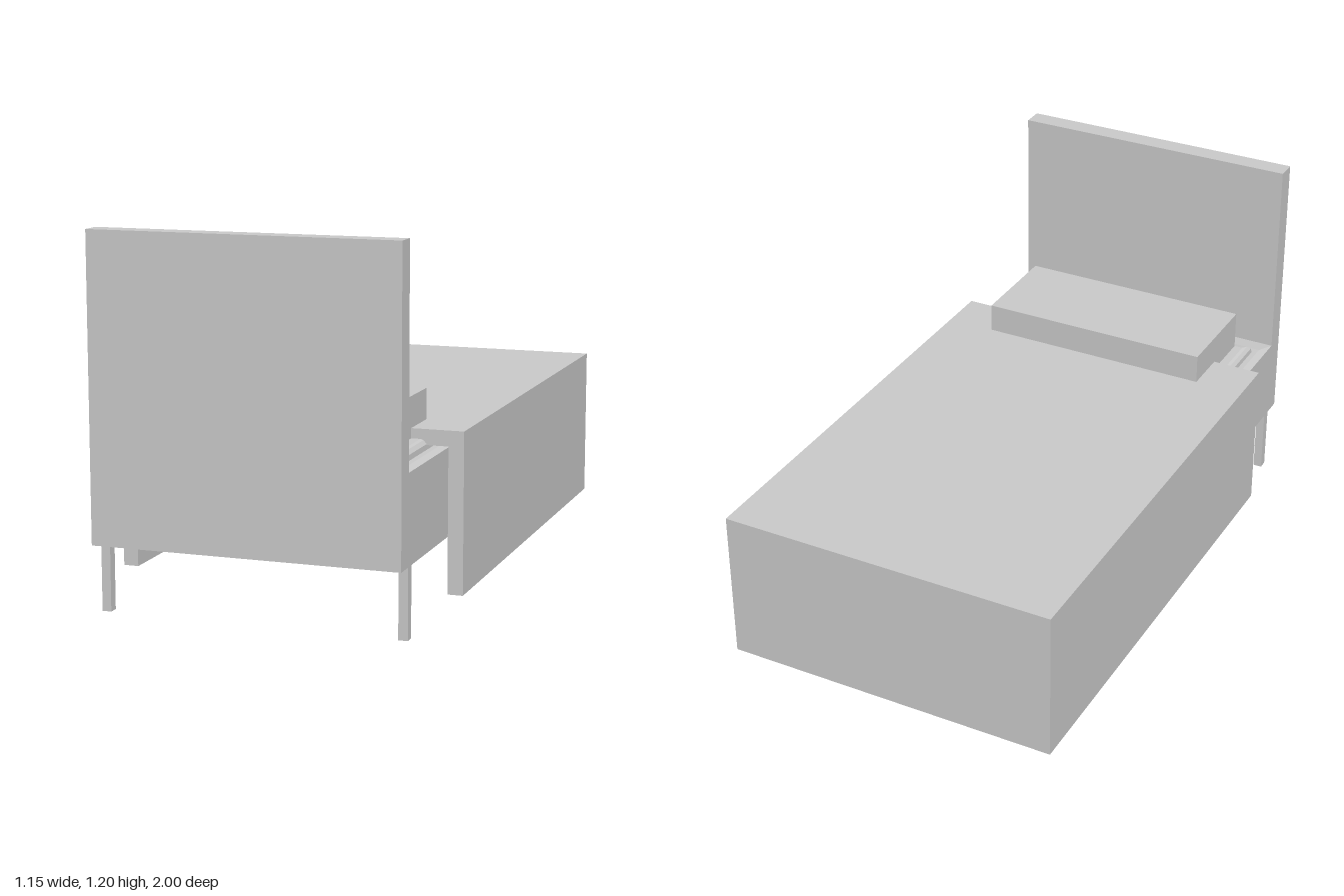
import * as THREE from 'three';

const material = new THREE.MeshStandardMaterial({ color: 0xcccccc, flatShading: true });

function addMesh(parent, name, geometry) {
  const mesh = new THREE.Mesh(geometry, material);
  mesh.name = name;
  parent.add(mesh);
  return mesh;
}

// Box given by its limits on each axis
function addBox(parent, name, [x0, x1], [y0, y1], [z0, z1]) {
  const mesh = addMesh(parent, name, new THREE.BoxGeometry(x1 - x0, y1 - y0, z1 - z0));
  mesh.position.set((x0 + x1) / 2, (y0 + y1) / 2, (z0 + z1) / 2);
  return mesh;
}

// Stack of rectangles [y, halfWidth, zFoot, zHead] joined by sloping sides and closed at both ends
function layeredSlab(layers) {
  const positions = [];
  const index = [];
  for (const [y, w, z0, z1] of layers) {
    positions.push(-w, y, z1, w, y, z1, w, y, z0, -w, y, z0);
  }
  for (let i = 0; i < layers.length - 1; i++) {
    for (let j = 0; j < 4; j++) {
      const a = i * 4 + j;
      const b = i * 4 + (j + 1) % 4;
      index.push(a, b, b + 4, a, b + 4, a + 4);
    }
  }
  const t = (layers.length - 1) * 4;
  index.push(t, t + 1, t + 2, t, t + 2, t + 3, 0, 2, 1, 0, 3, 2);
  const geometry = new THREE.BufferGeometry();
  geometry.setAttribute('position', new THREE.Float32BufferAttribute(positions, 3));
  geometry.setIndex(index);
  const flat = geometry.toNonIndexed();
  flat.computeVertexNormals();
  return flat;
}

export function createModel() {
  const bed = new THREE.Group();
  bed.name = 'bed';

  // Frame
  addBox(bed, 'headboard', [-0.5, 0.5], [0.225, 1.2], [0.93, 1]);
  addBox(bed, 'bedBase', [-0.5, 0.5], [0.225, 0.51], [-0.92, 0.93]);

  // Four square legs
  for (const side of [-1, 1]) {
    const x = side < 0 ? [-0.5, -0.47] : [0.47, 0.5];
    addBox(bed, 'headLeg', x, [0, 0.225], [0.902, 0.934]);
    addBox(bed, 'footLeg', x, [0, 0.225], [-0.894, -0.862]);
  }

  // Bevelled mattress on a thin sloping rim
  addMesh(bed, 'mattressRim', layeredSlab([
    [0.51, 0.5, -0.92, 0.93],
    [0.516, 0.475, -0.88, 0.87],
  ]));
  addMesh(bed, 'mattress', layeredSlab([
    [0.514, 0.457, -0.85, 0.843],
    [0.533, 0.455, -0.85, 0.84],
    [0.545, 0.445, -0.84, 0.825],
    [0.548, 0.435, -0.82, 0.805],
  ]));

  addBox(bed, 'pillow', [-0.405, 0.405], [0.545, 0.68], [0.457, 0.804]);

  // Blanket: a hanging U section along the bed, closed by a panel at the foot
  const blanket = new THREE.Group();
  blanket.name = 'blanket';
  bed.add(blanket);
  const section = new THREE.Shape([
    [-0.575, 0.063], [-0.525, 0.063], [-0.525, 0.53], [0.525, 0.53],
    [0.525, 0.063], [0.575, 0.063], [0.575, 0.58], [-0.575, 0.58],
  ].map(([x, y]) => new THREE.Vector2(x, y)));
  const drape = addMesh(blanket, 'blanketDrape',
    new THREE.ExtrudeGeometry(section, { depth: 1.565, bevelEnabled: false }));
  drape.position.z = -0.95;
  addBox(blanket, 'blanketFoot', [-0.575, 0.575], [0.063, 0.58], [-1, -0.95]);

  return bed;
}
